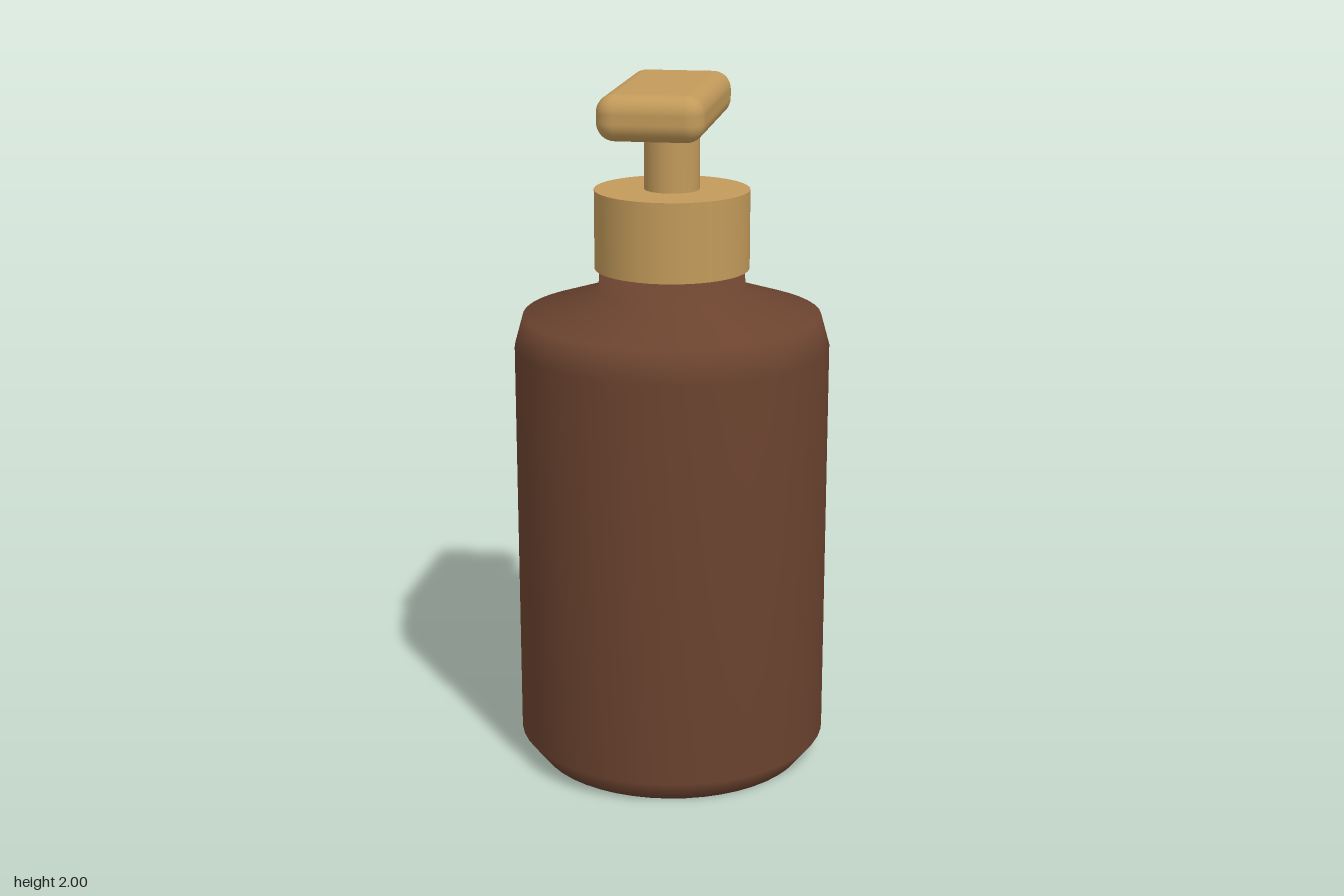
import * as THREE from 'three';
import { RoundedBoxGeometry } from 'three/addons/geometries/RoundedBoxGeometry.js';

export function createModel() {
  const group = new THREE.Group();
  const brown = new THREE.MeshStandardMaterial({ color: 0x6b432f });
  brown.name = 'brown bottle';
  const gold = new THREE.MeshStandardMaterial({ color: 0xc29a5a });
  gold.name = 'gold pump';

  const add = (name, geometry, material, y, z = 0) => {
    const mesh = new THREE.Mesh(geometry, material);
    mesh.name = name;
    mesh.position.set(0, y, z);
    group.add(mesh);
  };

  // Bottle: chamfered foot, straight wall, sloping shoulder and short neck
  const profile = [
    [0, 0], [0.395, 0], [0.45, 0.07], [0.45, 1.24],
    [0.425, 1.33], [0.21, 1.4], [0.205, 1.47], [0, 1.47],
  ].map(([r, y]) => new THREE.Vector2(r, y));
  add('bottle', new THREE.LatheGeometry(profile, 48), brown, 0);

  // Pump collar and stem
  add('collar', new THREE.CylinderGeometry(0.22, 0.22, 0.225, 48), gold, 1.575);
  add('stem', new THREE.CylinderGeometry(0.078, 0.078, 0.24, 32), gold, 1.79);

  // Pump head, reaching forward as the spout
  add('pumpHead', new RoundedBoxGeometry(0.29, 0.125, 0.595, 5, 0.05), gold, 1.9375, 0.106);

  return group;
}
